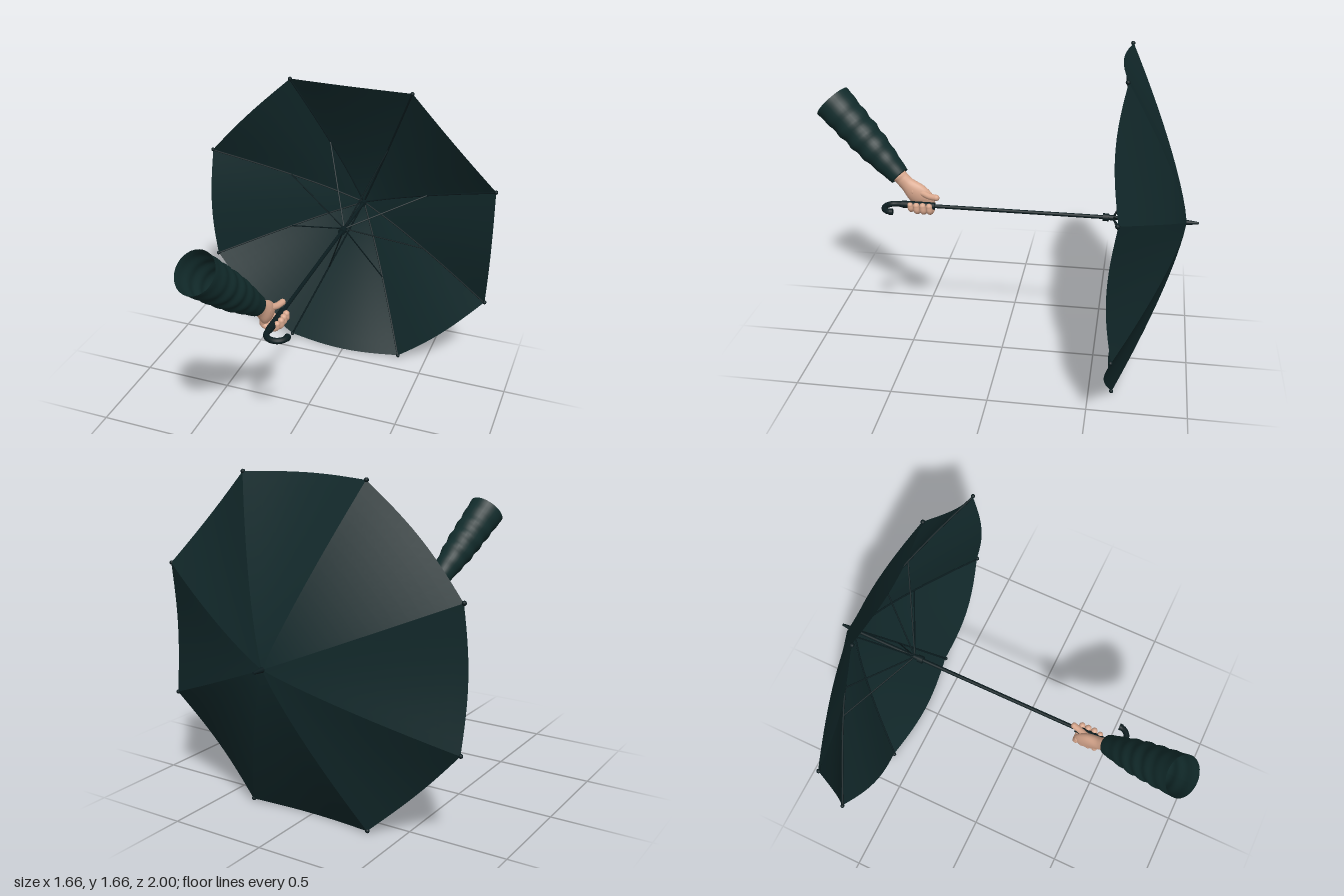
import * as THREE from 'three';

const V = (x, y, z) => new THREE.Vector3(x, y, z);
const AXIS_Y = 0.83; // height of the shaft
const TIP_R = 0.886, APEX_Z = -0.94, RIB_DROP = 0.32, HALF = Math.PI / 8;

const mat = (name, color, side = THREE.FrontSide) => {
  const m = new THREE.MeshStandardMaterial({ color, side });
  m.name = name;
  return m;
};

// Height of a rib at fraction t from apex to tip
const ribZ = (t) => APEX_Z + RIB_DROP * Math.pow(t, 1.3);

// Loft of elliptical rings: centre c, half axes u and v (u x v points along the loft)
function loft(rings, seg = 20, steps = 24) {
  const curve = (key) => new THREE.CatmullRomCurve3(rings.map((r) => r[key]));
  const [c, u, v] = ['c', 'u', 'v'].map(curve);
  const pos = [], index = [];
  for (let i = 0; i <= steps; i++) {
    const t = i / steps, C = c.getPoint(t), U = u.getPoint(t), W = v.getPoint(t);
    for (let j = 0; j < seg; j++) {
      const a = (j / seg) * Math.PI * 2;
      const p = C.clone().addScaledVector(U, Math.cos(a)).addScaledVector(W, Math.sin(a));
      pos.push(p.x, p.y, p.z);
      if (i < steps) {
        const k = i * seg + j, n = i * seg + ((j + 1) % seg);
        index.push(k, n, k + seg, n, n + seg, k + seg);
      }
    }
  }
  const g = new THREE.BufferGeometry();
  g.setAttribute('position', new THREE.Float32BufferAttribute(pos, 3));
  g.setIndex(index);
  g.computeVertexNormals();
  return g;
}

export function createModel() {
  const model = new THREE.Group();
  model.name = 'umbrellaAndArm';
  const cloth = mat('canopyGreen', 0x12292b, THREE.DoubleSide);
  const sleeveMat = mat('sleeveGreen', 0x122c2c, THREE.DoubleSide);
  const frameMat = mat('frameDark', 0x0b1c1f);
  const skin = mat('skin', 0xd9a88e);

  const add = (parent, name, geo, material) => {
    const m = new THREE.Mesh(geo, material);
    m.name = name;
    parent.add(m);
    return m;
  };
  const tube = (parent, name, pts, r, material, seg = 16, sides = 8) =>
    add(parent, name, new THREE.TubeGeometry(new THREE.CatmullRomCurve3(pts), seg, r, sides), material);
  const ball = (parent, name, p, r, material) =>
    add(parent, name, new THREE.SphereGeometry(r, 12, 8), material).position.copy(p);
  // Cylinder along z, from z0 (radius r0) to z1 (radius r1)
  const rod = (parent, name, z0, z1, r0, r1 = r0) => {
    const g = new THREE.CylinderGeometry(r1, r0, z1 - z0, 16).rotateX(Math.PI / 2);
    add(parent, name, g, frameMat).position.z = (z0 + z1) / 2;
  };

  const umbrella = new THREE.Group();
  umbrella.name = 'umbrella';
  umbrella.position.y = AXIS_Y;
  model.add(umbrella);

  // Canopy panel: spans two ribs and billows at its free edge
  const panel = new THREE.PlaneGeometry(1, 1, 12, 16);
  const p = panel.attributes.position;
  for (let i = 0; i < p.count; i++) {
    const v = p.getX(i) + 0.5, t = 0.01 + 0.99 * (p.getY(i) + 0.5);
    const sag = Math.sin(Math.PI * v) * t * t;
    p.setXYZ(i,
      TIP_R * t * Math.cos(HALF) + 0.011 * sag,
      TIP_R * t * Math.sin(HALF) * (2 * v - 1),
      ribZ(t) + 0.036 * sag);
  }
  panel.computeVertexNormals();

  // Eight panels with ribs, stretchers and rib tips
  for (let k = 0; k < 8; k++) {
    const sector = new THREE.Group();
    sector.name = 'canopySector';
    sector.rotation.z = k * Math.PI / 4;
    umbrella.add(sector);
    add(sector, 'canopyPanel', panel, cloth);

    const spoke = new THREE.Group();
    spoke.name = 'ribAssembly';
    spoke.rotation.z = HALF;
    sector.add(spoke);
    const ribPts = [0.02, 0.25, 0.5, 0.75, 1].map((t) => V(TIP_R * t, 0, ribZ(t) + 0.007));
    tube(spoke, 'rib', ribPts, 0.005, frameMat, 16, 6);
    tube(spoke, 'stretcher', [V(0.012, 0, -0.575), V(0.44, 0, ribZ(0.497) + 0.01)], 0.004, frameMat, 1, 6);
    ball(spoke, 'ribTip', V(TIP_R, 0, ribZ(1) + 0.003), 0.011, frameMat);
  }

  // Shaft, ferrule, runner and grip
  rod(umbrella, 'shaft', -0.95, 0.52, 0.01);
  rod(umbrella, 'ferrule', -1, -0.925, 0.006, 0.015);
  rod(umbrella, 'crown', -0.93, -0.9, 0.018);
  rod(umbrella, 'runner', -0.585, -0.545, 0.014);
  rod(umbrella, 'runnerCollar', -0.55, -0.52, 0.02);
  rod(umbrella, 'grip', 0.355, 0.53, 0.019);

  // Hooked handle
  const hook = [V(0, 0, 0.5), V(0, 0, 0.53)];
  for (let i = 0; i <= 8; i++) {
    const a = Math.PI * i / 8;
    hook.push(V(0.052 - 0.052 * Math.cos(a), 0, 0.56 + 0.05 * Math.sin(a)));
  }
  tube(umbrella, 'hookHandle', hook, 0.015, frameMat, 40, 12);
  const cap = add(umbrella, 'hookEnd', new THREE.CylinderGeometry(0.017, 0.017, 0.016, 14), frameMat);
  cap.rotation.x = Math.PI / 2;
  cap.position.set(0.104, 0, 0.562);

  // Sleeve: creased lathe from the cuff up to the open shoulder end
  const arm = new THREE.Group();
  arm.name = 'arm';
  model.add(arm);
  const cuff = V(-0.055, 0.965, 0.55), end = V(-0.165, 1.322, 0.925);
  const dir = end.clone().sub(cuff), len = dir.length();
  const width = new THREE.SplineCurve([[0.053, 0], [0.068, 0.18], [0.084, 0.4], [0.092, 0.62], [0.098, 0.82], [0.104, 1]]
    .map(([r, s]) => new THREE.Vector2(r, s * len)));
  const sleeve = new THREE.LatheGeometry([new THREE.Vector2(0.04, 0.015), ...width.getPoints(40)], 32);
  const sp = sleeve.attributes.position;
  for (let i = 0; i < sp.count; i++) {
    const x = sp.getX(i), y = sp.getY(i), z = sp.getZ(i);
    const a = Math.atan2(x, z), s = y / len;
    const fold = 1 + 0.045 * Math.sin(s * 38 + 1.5 * Math.sin(a)) * Math.sin(Math.PI * Math.min(1, Math.max(0, s)));
    sp.setXYZ(i, x * fold, y, z * fold);
  }
  sleeve.computeVertexNormals();
  const sleeveMesh = add(arm, 'sleeve', sleeve, sleeveMat);
  sleeveMesh.position.copy(cuff);
  sleeveMesh.quaternion.setFromUnitVectors(V(0, 1, 0), dir.normalize());

  // Wrist and palm, flattening towards the knuckles
  const hand = new THREE.Group();
  hand.name = 'hand';
  arm.add(hand);
  const ring = (x, y, z, uy, uz, w) => ({ c: V(x, y, z), u: V(0, uy, uz), v: V(-w, 0, 0) });
  add(hand, 'palm', loft([
    ring(-0.062, 0.995, 0.58, -0.026, 0.026, 0.034),
    ring(-0.056, 0.96, 0.545, -0.027, 0.027, 0.034),
    ring(-0.051, 0.925, 0.51, -0.028, 0.029, 0.03),
    ring(-0.046, 0.89, 0.467, -0.03, 0.048, 0.031),
    ring(-0.046, 0.855, 0.437, -0.015, 0.064, 0.028),
    ring(-0.049, 0.825, 0.427, -0.004, 0.06, 0.021),
    ring(-0.047, 0.81, 0.426, 0, 0.004, 0.002),
  ]), skin);

  // Four fingers curled under the grip
  for (let i = 0; i < 4; i++) {
    const z = 0.38 + i * 0.034, r = [0.0165, 0.0175, 0.017, 0.015][i], d = i === 3 ? 0.006 : 0;
    const pts = [V(-0.052, 0.85, z + 0.006), V(-0.054, 0.822, z), V(-0.035, 0.802 + d, z - 0.002),
      V(0, 0.799 + d, z - 0.003), V(0.024 - d, 0.81 + d, z - 0.002), V(0.026 - d, 0.836, z)];
    tube(hand, 'finger', pts, r, skin, 24, 12);
    ball(hand, 'fingerTip', pts[5], r, skin);
    ball(hand, 'knuckle', pts[0], r, skin);
  }

  // Thumb lying along the top of the shaft
  const thumb = [V(-0.042, 0.893, 0.475), V(-0.033, 0.886, 0.43), V(-0.016, 0.876, 0.385), V(-0.006, 0.875, 0.347)];
  tube(hand, 'thumb', thumb, 0.0165, skin, 16, 12);
  ball(hand, 'thumbTip', thumb[3], 0.0165, skin);
  ball(hand, 'thumbBase', thumb[0], 0.028, skin);

  return model;
}
